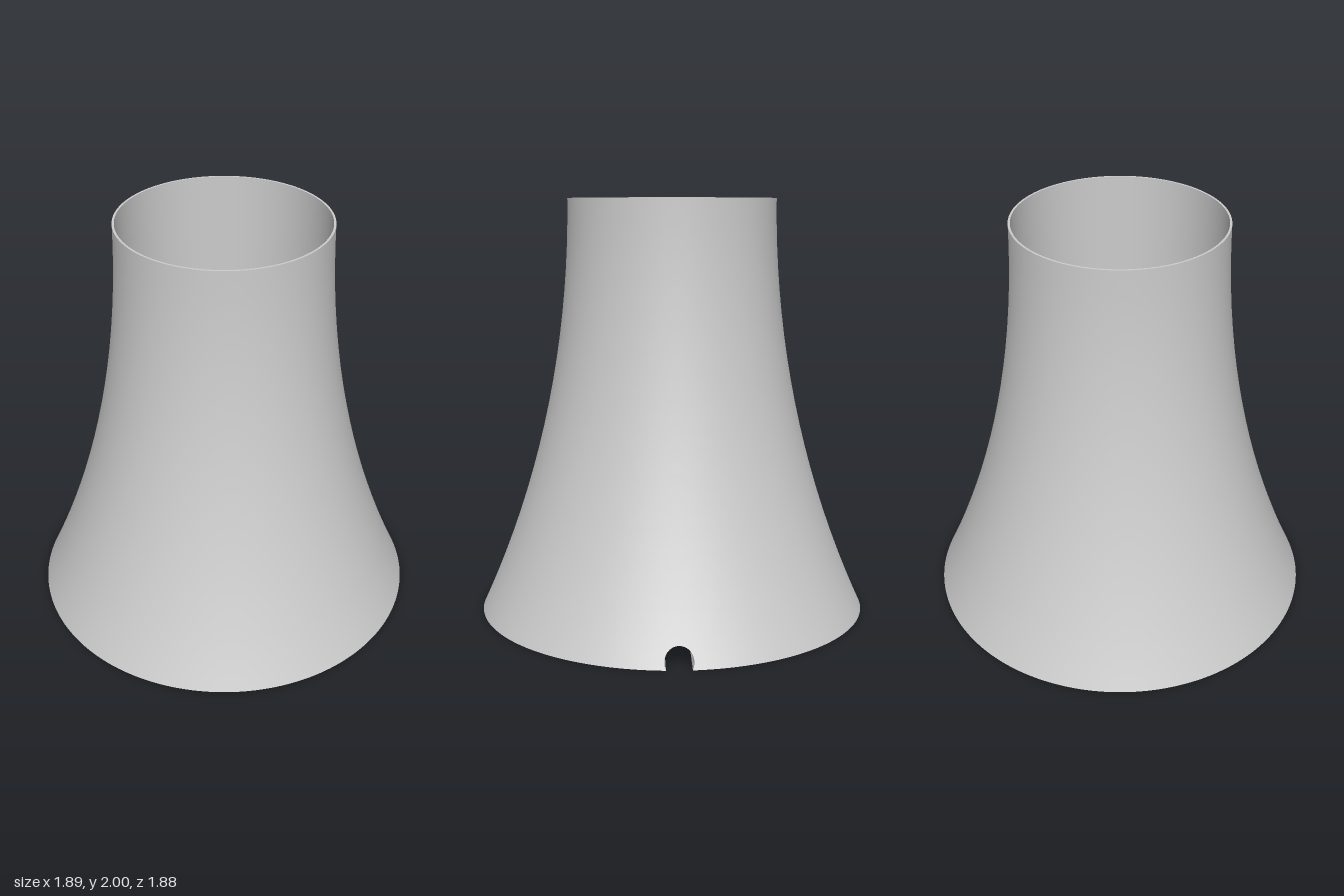
import * as THREE from 'three';
import { toCreasedNormals } from 'three/addons/utils/BufferGeometryUtils.js';

const HEIGHT = 2, TOP_R = 0.5, BORE_R = 0.49, ARC_R = 4.736; // flare is a circular arc, upright at the top
const HOLE_X = 0.315, HOLE_Z = 0.25, HOLE_CORNER = 0.08;
const SLOT_R = 0.065, SLOT_Y = 0.03, SLOT_HALF = Math.sqrt(SLOT_R ** 2 - SLOT_Y ** 2);
const ARC_COLS = 18, BODY_COLS = 192, COLS = ARC_COLS + BODY_COLS;
const FLOOR_Y = 1.0, FUNNEL_Y = 0.6, BLEND_Y = 0.25;

const { lerp } = THREE.MathUtils;
const flareRadius = (y) => TOP_R + ARC_R - Math.sqrt(ARC_R ** 2 - (HEIGHT - y) ** 2);

// Angles are measured from the back (-z) towards +x
const polar = (a, r, y) => [r * Math.sin(a), y, -r * Math.cos(a)];

// Distance from the axis to the rounded rectangular hole at an angle
function holeRadius(a) {
  let lo = 0, hi = 0.6;
  for (let i = 0; i < 30; i++) {
    const r = (lo + hi) / 2;
    const x = Math.abs(r * Math.sin(a)) - HOLE_X + HOLE_CORNER;
    const z = Math.abs(r * Math.cos(a)) - HOLE_Z + HOLE_CORNER;
    const d = Math.hypot(Math.max(x, 0), Math.max(z, 0)) + Math.min(Math.max(x, z), 0) - HOLE_CORNER;
    if (d < 0) lo = r; else hi = r;
  }
  return lo;
}

// Every loop has the same columns: first those over the cable slot, then the rest
function columnAngle(k, edge) {
  return k <= ARC_COLS
    ? lerp(-edge, edge, k / ARC_COLS)
    : lerp(edge, 2 * Math.PI - edge, (k - ARC_COLS) / BODY_COLS);
}
const innerEdge = Math.atan(SLOT_HALF / HOLE_Z);
const outerEdge = Math.asin(SLOT_HALF / flareRadius(0));
const angle = (k) => columnAngle(k, innerEdge);

// Slot outline: a round channel cut open at the underside
function slotPoint(k) {
  const start = Math.PI + Math.asin(SLOT_Y / SLOT_R);
  const a = lerp(start, Math.PI - start, k / ARC_COLS);
  return { x: SLOT_R * Math.cos(a), y: Math.max(0, SLOT_Y + SLOT_R * Math.sin(a)) };
}

const loop = (fn) => Array.from({ length: COLS }, (_, k) => fn(k));
const range = (n, fn) => Array.from({ length: n + 1 }, (_, i) => fn(i / n));

// Surface through successive loops
function skin(name, loops, material) {
  const index = [];
  for (let j = 0; j < loops.length - 1; j++) {
    for (let k = 0; k < COLS; k++) {
      const n = (k + 1) % COLS;
      const a = j * COLS + k, b = j * COLS + n;
      index.push(a, b, a + COLS, b, b + COLS, a + COLS);
    }
  }
  const geometry = new THREE.BufferGeometry();
  geometry.setAttribute('position', new THREE.Float32BufferAttribute(loops.flat(2), 3));
  geometry.setIndex(index);
  const mesh = new THREE.Mesh(toCreasedNormals(geometry, 0.6), material);
  mesh.name = name;
  return mesh;
}

export function createModel() {
  const group = new THREE.Group();
  group.name = 'flaredStand';
  const material = new THREE.MeshStandardMaterial({ color: 0xcccccc });

  // Outer flare: plain rings above, then rings easing into the slot mouth
  const flareRing = (y) => loop((k) => polar(angle(k), flareRadius(y), y));
  const mouthRing = (t) => loop((k) => {
    let y0 = 0, a0 = columnAngle(k, outerEdge);
    if (k <= ARC_COLS) {
      const p = slotPoint(k);
      y0 = p.y;
      a0 = Math.asin(p.x / flareRadius(y0));
    }
    const y = lerp(BLEND_Y, y0, t);
    return polar(lerp(angle(k), a0, t), flareRadius(y), y);
  });
  const outer = [
    ...range(16, (t) => flareRing(lerp(HEIGHT, BLEND_Y, t))),
    ...range(5, mouthRing).slice(1),
  ];

  // Rectangular hole, with the slot opening into its back wall
  const holeRing = (y) => loop((k) => polar(angle(k), holeRadius(angle(k)), y));
  const holeBottom = loop((k) => {
    if (k > ARC_COLS) return polar(angle(k), holeRadius(angle(k)), 0);
    const p = slotPoint(k);
    return [p.x, p.y, -HOLE_Z];
  });

  // Funnel rolls from the upright hole walls out to the round bore
  const funnelRing = (t) => loop((k) => {
    const a = angle(k), q = t * Math.PI / 2;
    const r = lerp(holeRadius(a), BORE_R, 1 - Math.cos(q));
    return polar(a, r, lerp(FUNNEL_Y, FLOOR_Y, Math.sin(q)));
  });
  const boreRing = (y) => loop((k) => polar(angle(k), BORE_R, y));

  group.add(
    skin('flaredShell', outer, material),
    skin('undersideAndCableSlot', [outer[outer.length - 1], holeBottom], material),
    skin('holeAndFunnel', [holeBottom, holeRing(0.3), ...range(12, funnelRing)], material),
    skin('bore', [boreRing(FLOOR_Y), boreRing(HEIGHT)], material),
    skin('topRim', [boreRing(HEIGHT), flareRing(HEIGHT)], material),
  );
  return group;
}
